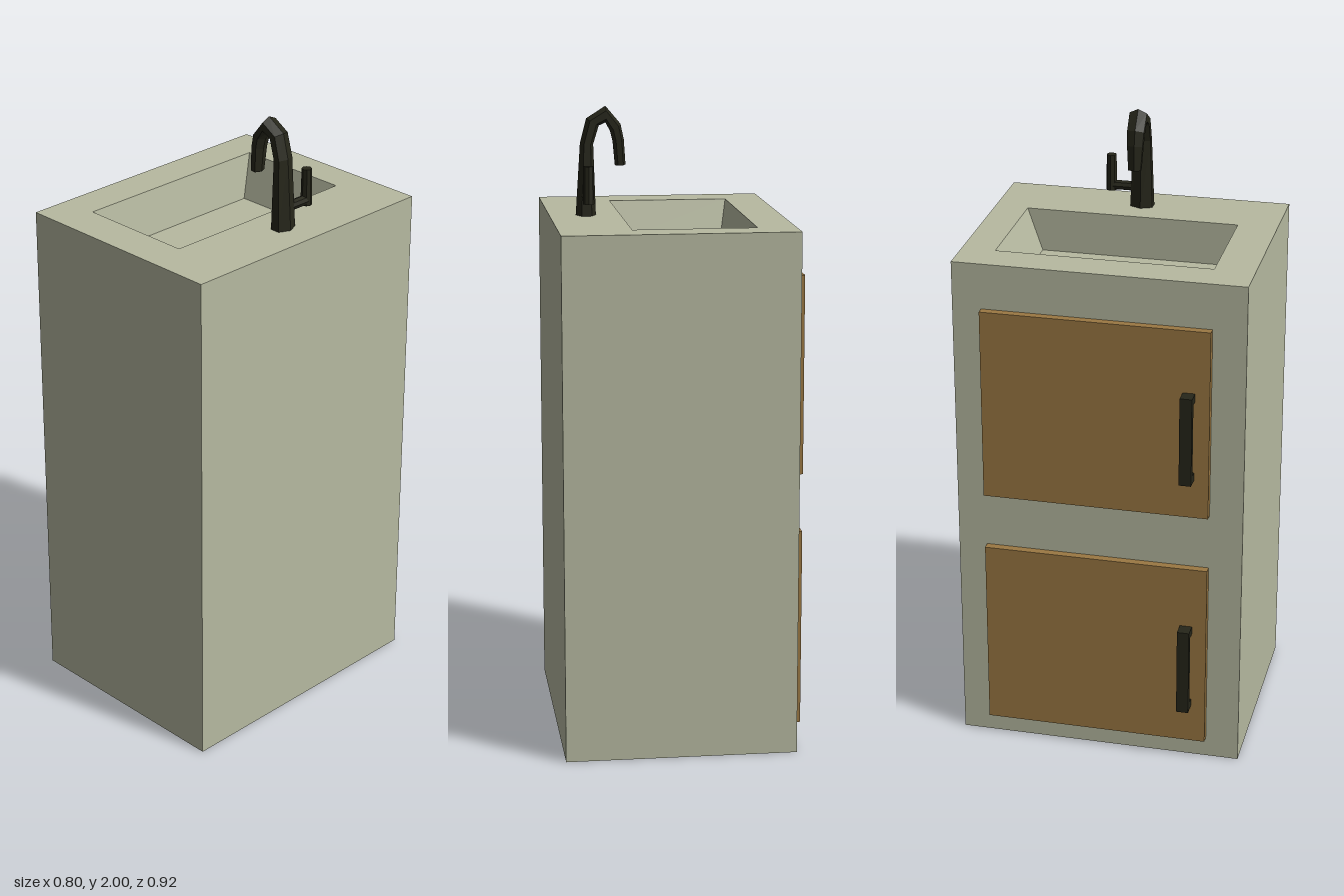
import * as THREE from 'three';

const stone = new THREE.MeshStandardMaterial({ color: 0xb7baa1, flatShading: true });
const wood = new THREE.MeshStandardMaterial({ color: 0x9b7843, flatShading: true });
const metal = new THREE.MeshStandardMaterial({ color: 0x26261a, flatShading: true });

function add(parent, name, geometry, material) {
  const mesh = new THREE.Mesh(geometry, material);
  mesh.name = name;
  parent.add(mesh);
  return mesh;
}

// Box given by its minimum and maximum corners
function box(parent, name, [x0, y0, z0], [x1, y1, z1], material) {
  const mesh = add(parent, name, new THREE.BoxGeometry(x1 - x0, y1 - y0, z1 - z0), material);
  mesh.position.set((x0 + x1) / 2, (y0 + y1) / 2, (z0 + z1) / 2);
  return mesh;
}

// Skin over equal-sized rings of points, closed at the chosen ends
function loft(rings, capStart, capEnd) {
  const n = rings[0].length, index = [];
  for (let r = 0; r < rings.length - 1; r++) {
    for (let i = 0; i < n; i++) {
      const a = r * n + i, b = r * n + (i + 1) % n;
      index.push(a, b, b + n, a, b + n, a + n);
    }
  }
  const last = (rings.length - 1) * n;
  for (let i = 1; i < n - 1; i++) {
    if (capStart) index.push(0, i + 1, i);
    if (capEnd) index.push(last, last + i, last + i + 1);
  }
  const geometry = new THREE.BufferGeometry();
  geometry.setAttribute('position', new THREE.Float32BufferAttribute(rings.flat(2), 3));
  geometry.setIndex(index);
  const flat = geometry.toNonIndexed();
  flat.computeVertexNormals();
  return flat;
}

// Horizontal rectangle, counter-clockwise seen from above
const rect = (x0, x1, z0, z1, y) => [[x0, y, z1], [x1, y, z1], [x1, y, z0], [x0, y, z0]];

export function createModel() {
  const model = new THREE.Group();
  model.name = 'washbasinCabinet';
  const top = 1.655;

  // Cabinet and sunken basin: underside, walls, rim, basin sides, basin floor
  add(model, 'cabinetWithBasin', loft([
    rect(-0.33, 0.4, -0.46, 0.46, 0),
    rect(-0.33, 0.4, -0.46, 0.46, top),
    rect(-0.21, 0.175, -0.353, 0.333, top),
    rect(-0.186, 0.175, -0.305, 0.29, top - 0.14),
  ], true, true), stone);

  // Two doors on the -x side, each with a bar handle
  for (const y of [0.067, 0.88]) {
    const door = new THREE.Group();
    door.name = 'door';
    door.position.y = y;
    model.add(door);
    box(door, 'doorPanel', [-0.356, 0, -0.368], [-0.328, 0.628, 0.354], wood);
    box(door, 'handleBar', [-0.401, 0.13, 0.269], [-0.38, 0.423, 0.308], metal);
    for (const py of [0.13, 0.397]) {
      box(door, 'handlePost', [-0.38, py, 0.269], [-0.355, py + 0.026, 0.308], metal);
    }
  }

  const faucet = new THREE.Group();
  faucet.name = 'faucet';
  model.add(faucet);

  // Tapered gooseneck: centre x, centre y, heading in degrees, half width in plane, half width in z
  const sections = [
    [0.284, top, 90, 0.032, 0.036],
    [0.28, 1.88, 94, 0.021, 0.029],
    [0.261, 1.948, 120, 0.023, 0.028],
    [0.22, 1.972, 180, 0.026, 0.028],
    [0.189, 1.93, 236, 0.02, 0.027],
    [0.18, 1.89, 262, 0.018, 0.025],
    [0.174, 1.812, 267, 0.017, 0.02],
  ];
  add(faucet, 'spout', loft(sections.map(([x, y, heading, r, rz]) => {
    const h = THREE.MathUtils.degToRad(heading);
    return Array.from({ length: 6 }, (_, i) => {
      const a = i * Math.PI / 3;
      const u = Math.cos(a) * r, w = Math.sin(a) * rz / Math.sin(Math.PI / 3);
      return [x + u * Math.sin(h), y - u * Math.cos(h), -w];
    });
  }), true, true), metal);

  // Lever on the -z side: short arm and upright grip
  const arm = add(faucet, 'leverArm', new THREE.CylinderGeometry(0.016, 0.016, 0.1, 8), metal);
  arm.rotation.x = Math.PI / 2;
  arm.position.set(0.284, 1.718, -0.055);
  const grip = add(faucet, 'leverGrip', new THREE.CylinderGeometry(0.016, 0.018, 0.118, 8), metal);
  grip.position.set(0.284, 1.761, -0.101);

  return model;
}
